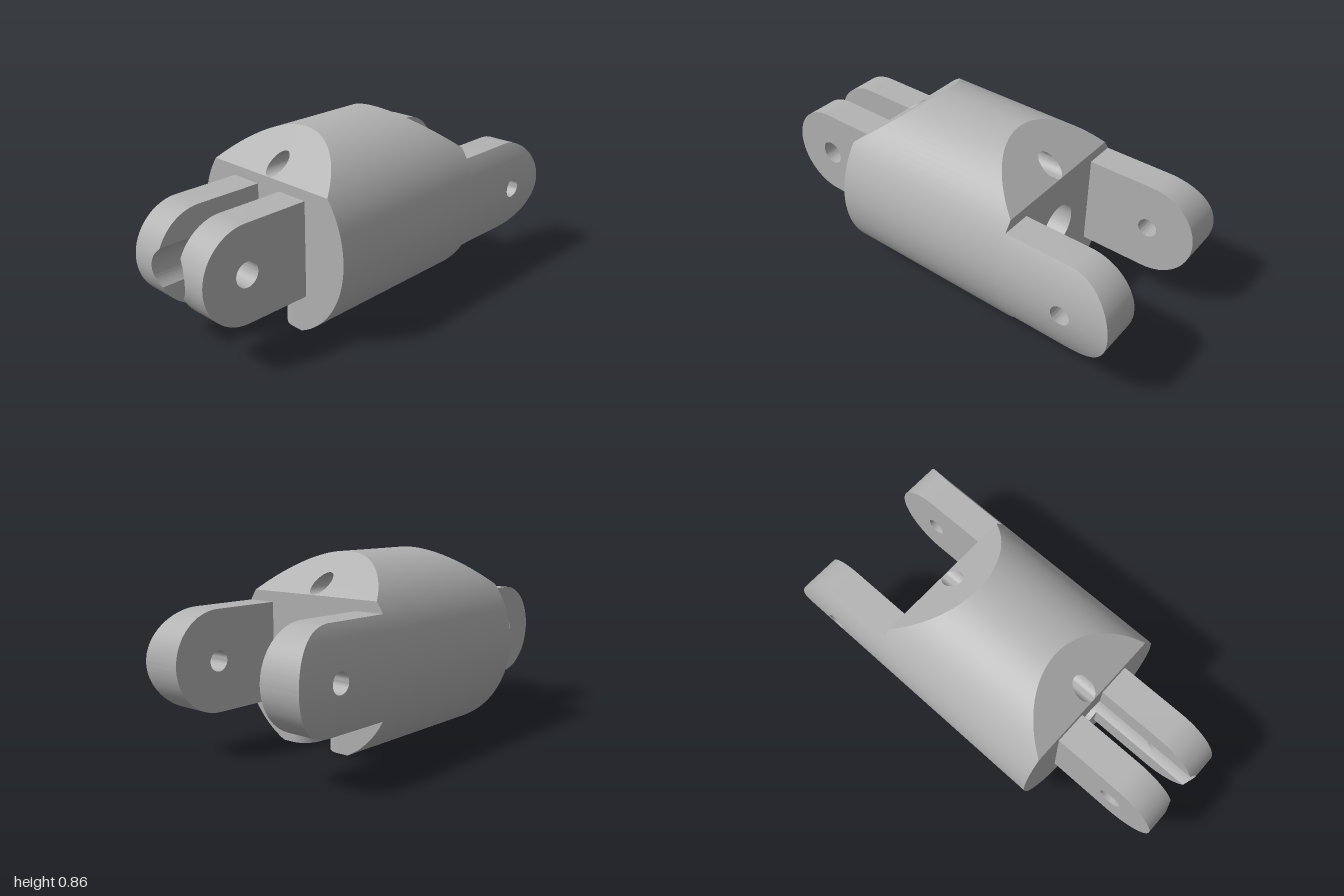
import * as THREE from 'three';
import { toCreasedNormals } from 'three/addons/utils/BufferGeometryUtils.js';

const CY = 0.41, R = 0.454, HALF = 0.453;            // body axis height, radius, half length
const BORE = 0.113, PIN_Y = 0.32, PIN_R = 0.0455;    // main bore and small upper hole
const BEVEL_Y = 0.274, BEVEL_SLOPE = 1.267;          // sloped top ends
const SLOT_W = 0.046, SLOT_Y = -0.318, FLARE = 0.09; // bottom slot with flared mouths
const LUG_H = 0.225, LUG_C = 0.775;                  // lug half height and pin centre

const steel = new THREE.MeshStandardMaterial({ color: 0xb3b3b3, side: THREE.DoubleSide });
steel.name = 'grey metal';

const endZ = (y) => HALF - Math.max(0, y - BEVEL_Y) * BEVEL_SLOPE;

// Skin a list of rings (arrays of [x, y, z]) with quads
function loft(rings) {
  const out = [];
  for (let i = 0; i < rings.length - 1; i++) {
    for (let j = 0; j < rings[i].length - 1; j++) {
      const a = rings[i][j], b = rings[i + 1][j], c = rings[i + 1][j + 1], d = rings[i][j + 1];
      out.push(...a, ...b, ...c, ...a, ...c, ...d);
    }
  }
  return out;
}

function surface(name, ...lofts) {
  const geo = new THREE.BufferGeometry();
  geo.setAttribute('position', new THREE.Float32BufferAttribute(lofts.flat(), 3));
  const mesh = new THREE.Mesh(toCreasedNormals(geo, 0.6), steel);
  mesh.name = name;
  return mesh;
}

// Points [x, y] along an arc
function arc(cx, cy, r, a0, a1, n) {
  return Array.from({ length: n + 1 }, (_, i) => {
    const a = a0 + (a1 - a0) * i / n;
    return [cx + r * Math.cos(a), cy + r * Math.sin(a)];
  });
}

const slotPath = (off) => {
  const w = SLOT_W + off;
  return [[-w, -CY], ...arc(0, SLOT_Y, w, Math.PI, 0, 24), [w, -CY]];
};

// Flat or sloped end face from an outline and one round hole
function endFace(outline, hole) {
  const shape = new THREE.Shape(outline.map((p) => new THREE.Vector2(...p)));
  shape.holes.push(new THREE.Path(hole.map((p) => new THREE.Vector2(...p)).reverse()));
  const geo = new THREE.ShapeGeometry(shape);
  const pos = geo.attributes.position;
  for (let i = 0; i < pos.count; i++) pos.setZ(i, endZ(pos.getY(i)));
  geo.computeVertexNormals();
  return geo;
}

function createBody() {
  const body = new THREE.Group();
  body.name = 'body';
  const aF = Math.asin(-CY / R), aB = Math.asin(BEVEL_Y / R);
  const right = arc(0, 0, R, aF, aB, 24);
  const top = arc(0, 0, R, aB, Math.PI - aB, 32);
  const left = arc(0, 0, R, Math.PI - aB, Math.PI - aF, 24);
  const front = (pts) => pts.map(([x, y]) => [x, y, endZ(y)]);
  const back = (pts) => pts.map(([x, y]) => [x, y, -endZ(y)]);

  // Round outer wall
  const wall = [...right, ...top.slice(1), ...left.slice(1)];
  body.add(surface('roundShell', loft([front(wall), back(wall)])));

  // Lengthwise holes
  const bore = arc(0, 0, BORE, 0, Math.PI * 2, 48);
  const pin = arc(0, PIN_Y, PIN_R, 0, Math.PI * 2, 32);
  body.add(surface('mainBore', loft([back(bore), front(bore)])));
  body.add(surface('upperHole', loft([back(pin), front(pin)])));

  // Bottom slot, rounded outwards at both mouths
  const half = Array.from({ length: 11 }, (_, i) => {
    const a = Math.PI / 2 * i / 10;
    return [FLARE * (1 - Math.sin(a)), HALF - FLARE * (1 - Math.cos(a))];
  });
  const profile = [...half, ...half.map(([o, z]) => [o, -z]).reverse()];
  body.add(surface('bottomSlot',
    loft(profile.map(([o, z]) => slotPath(o).map(([x, y]) => [x, y, z])))));

  // Flat feet on each side of the slot
  const flatX = R * Math.cos(aF);
  body.add(surface('flatFeet',
    loft(profile.map(([o, z]) => [[SLOT_W + o, -CY, z], [flatX, -CY, z]])),
    loft(profile.map(([o, z]) => [[-flatX, -CY, z], [-SLOT_W - o, -CY, z]]))));

  // End faces and bevels, front and back
  const lower = endFace([...right, ...left, ...slotPath(FLARE)], bore.slice(0, -1));
  const upper = endFace(top, pin.slice(0, -1));
  for (const turn of [0, Math.PI]) {
    for (const [name, geo] of [['endFace', lower], ['topBevel', upper]]) {
      const mesh = new THREE.Mesh(geo, steel);
      mesh.name = name;
      mesh.rotation.y = turn;
      body.add(mesh);
    }
  }

  // Flat web between the front lugs
  const web = new THREE.Mesh(new THREE.BoxGeometry(0.142, 0.044, 0.053), steel);
  web.name = 'frontWeb';
  web.position.set(0, -0.203, HALF - 0.0263);
  body.add(web);
  return body;
}

// Rounded lug with a cross hole; inner(y) and outer(y) give its side faces
function createLugPair(name, inner, outer, z0, holeR) {
  const ys = [-0.0887, 0.0887];
  for (let i = 0; i <= 32; i++) {
    const s = Math.sin(Math.PI * (i / 32 - 0.5));
    ys.push(LUG_H * s, holeR * s);
  }
  ys.sort((a, b) => a - b);
  const rows = ys.filter((y, i) => i === 0 || y - ys[i - 1] > 1e-5);
  const near = [], far = [];
  for (const y of rows) {
    const w = Math.sqrt(Math.max(0, holeR * holeR - y * y));
    const ze = LUG_C + Math.sqrt(Math.max(0, LUG_H * LUG_H - y * y));
    const a = inner(y), b = outer(y), z1 = LUG_C - w, z2 = LUG_C + w;
    near.push([[b, y, z0], [b, y, z1], [a, y, z1], [a, y, z0]]);
    far.push([[a, y, z2], [b, y, z2], [b, y, ze], [a, y, ze], [a, y, z2]]);
  }
  const a = inner(LUG_H), b = outer(LUG_H);
  const cap = (y, x0, x1) => loft([z0, LUG_C].map((z) => [[x0, y, z], [x1, y, z]]));
  const pair = new THREE.Group();
  pair.name = name + 's';
  const lug = surface(name, loft(near), loft(far), cap(LUG_H, a, b), cap(-LUG_H, b, a));
  const mirrored = lug.clone();
  mirrored.scale.x = -1;
  pair.add(lug, mirrored);
  return pair;
}

export function createModel() {
  const model = new THREE.Group();
  model.name = 'clevisLink';
  model.add(createBody());

  // Narrow front lugs, grooved by the bore
  model.add(createLugPair('frontLug',
    (y) => Math.sqrt(Math.max(0.07 * 0.07, BORE * BORE - y * y)),
    () => 0.227, 0.4, 0.058));

  // Wide rear lugs following the round shell
  const rear = createLugPair('rearLug', () => 0.25,
    (y) => Math.sqrt(R * R - y * y), HALF - 0.005, 0.046);
  rear.rotation.y = Math.PI;
  model.add(rear);

  for (const part of model.children) part.position.y = CY;
  return model;
}
